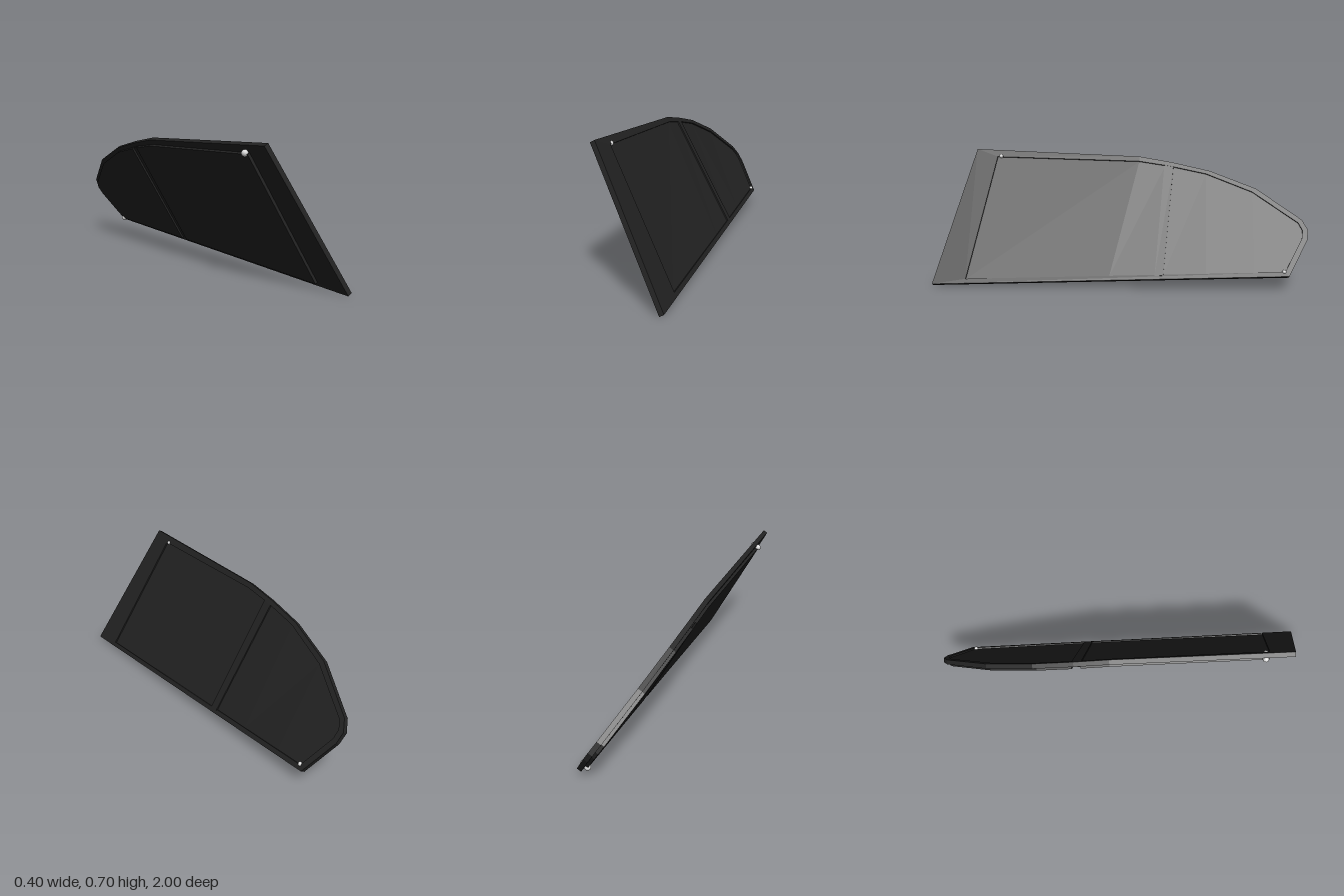
import * as THREE from 'three';

// Maps a spot on the leaning panel (z, height) and a depth inward to space.
// The rear of the panel bends gently inward with height.
function place([z, y], depth) {
  const bend = -0.09 * y * Math.max(0, (0.05 - z) / 1.05);
  return [0.2 - (y - 0.012) * 0.54 + bend - 0.88 * depth, y - 0.475 * depth, z];
}

// Solid strip between a lower (inner) and upper (outer) line of points.
function strip(name, low, high, d0, d1, material, closed = false) {
  const pos = [];
  const quad = (a, b, c, d) => pos.push(...a, ...b, ...c, ...a, ...c, ...d);
  const rings = low.map((p, i) => [
    place(p, d0), place(high[i], d0), place(high[i], d1), place(p, d1),
  ]);
  const n = rings.length;
  for (let i = 0; i < (closed ? n : n - 1); i++) {
    const r = rings[i], s = rings[(i + 1) % n];
    for (let k = 0; k < 4; k++) {
      const m = (k + 1) % 4;
      quad(r[k], s[k], s[m], r[m]);
    }
  }
  if (!closed) {
    quad(...rings[0]);
    quad(...rings[n - 1].slice().reverse());
  }
  const geo = new THREE.BufferGeometry();
  geo.setAttribute('position', new THREE.Float32BufferAttribute(pos, 3));
  geo.computeVertexNormals();
  const mesh = new THREE.Mesh(geo, material);
  mesh.name = name;
  return mesh;
}

export function createModel() {
  const group = new THREE.Group();
  group.name = 'sideWindow';
  const black = new THREE.MeshStandardMaterial({ color: 0x222222 });
  black.name = 'black';
  const paleGrey = new THREE.MeshStandardMaterial({ color: 0xd8d8d8 });
  paleGrey.name = 'paleGrey';

  // Rim running round the whole outline, widest at the front
  const outer = [[0.83, 0.705], [-0.09, 0.67], [-0.27, 0.64], [-0.48, 0.595], [-0.73, 0.505],
    [-0.97, 0.35], [-1, 0.3], [-0.992, 0.25], [-0.89, 0.08], [1, 0.012]];
  const inner = [[0.71, 0.665], [-0.09, 0.645], [-0.26, 0.62], [-0.46, 0.58], [-0.71, 0.488],
    [-0.95, 0.335], [-0.97, 0.3], [-0.965, 0.26], [-0.87, 0.1], [0.82, 0.04]];
  group.add(strip('rim', inner, outer, 0, 0.025, black, true));

  // Front and rear panes, recessed outside and standing proud inside
  group.add(strip('frontPane',
    [[0.82, 0.04], [0.05, 0.067], [-0.195, 0.076]],
    [[0.71, 0.665], [-0.09, 0.645], [-0.235, 0.624]], 0.008, 0.04, black));
  group.add(strip('rearPane',
    [[-0.235, 0.078], [-0.46, 0.086], [-0.71, 0.094], [-0.87, 0.1], [-0.965, 0.26]],
    [[-0.28, 0.616], [-0.46, 0.58], [-0.71, 0.488], [-0.95, 0.335], [-0.97, 0.3]],
    0.008, 0.04, black));

  // Upright bar between the panes
  group.add(strip('dividerBar', [[-0.19, 0.072], [-0.235, 0.074]],
    [[-0.23, 0.628], [-0.28, 0.618]], 0.001, 0.03, black));

  // Small fixings through opposite corners
  for (const [name, spot] of [['topFixing', [0.69, 0.668]], ['rearFixing', [-0.865, 0.102]]]) {
    const fixing = new THREE.Group();
    fixing.name = name;
    for (const [depth, radius] of [[0.003, 0.011], [0.036, 0.017]]) {
      const ball = new THREE.Mesh(new THREE.SphereGeometry(radius, 10, 7), paleGrey);
      ball.name = 'fixingHead';
      ball.position.set(...place(spot, depth));
      fixing.add(ball);
    }
    group.add(fixing);
  }
  return group;
}
